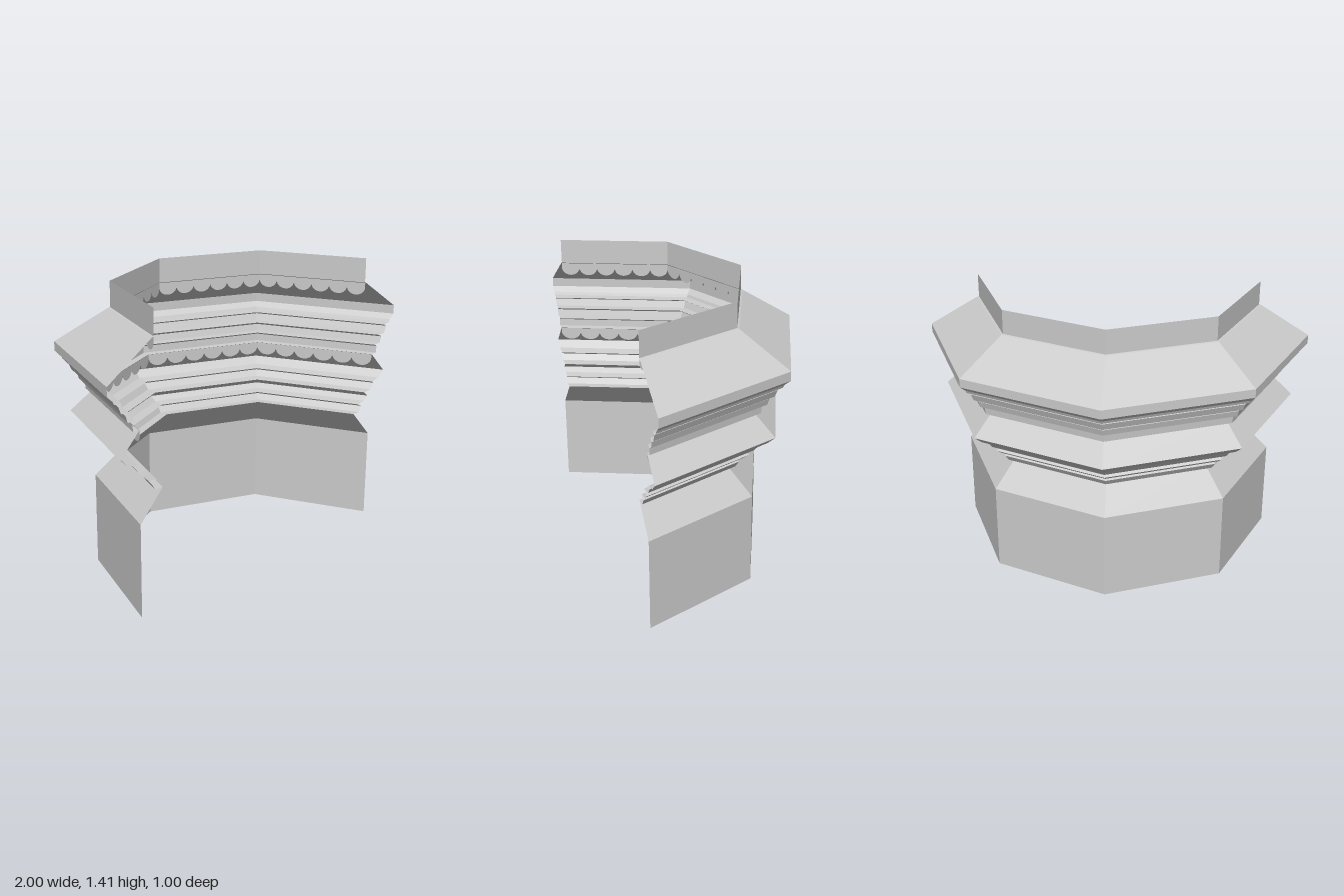
import * as THREE from 'three';

const SIDES = 4, STEP = Math.PI / SIDES, CENTRE_Z = 0.5;
const material = new THREE.MeshStandardMaterial({
  color: 0xcccccc, flatShading: true, side: THREE.DoubleSide,
});

// Sweep a [radius, height] profile (bottom to top) round half an octagon.
function sweep(name, profile) {
  const positions = [], index = [], n = profile.length;
  for (let s = 0; s <= SIDES; s++) {
    for (const [r, y] of profile) {
      positions.push(r * Math.cos(s * STEP), y, CENTRE_Z - r * Math.sin(s * STEP));
    }
  }
  for (let s = 0; s < SIDES; s++) {
    for (let p = 0; p < n - 1; p++) {
      const a = s * n + p, b = a + n;
      index.push(a, b, b + 1, a, b + 1, a + 1);
    }
  }
  const geometry = new THREE.BufferGeometry();
  geometry.setAttribute('position', new THREE.Float32BufferAttribute(positions, 3));
  geometry.setIndex(index);
  geometry.computeVertexNormals();
  const mesh = new THREE.Mesh(geometry, material);
  mesh.name = name;
  return mesh;
}

// Scalloped trim, one flat strip per side, hanging down from height top.
function scallops(name, radius, top, root, tip, lobes = 6) {
  const group = new THREE.Group();
  group.name = name;
  const length = 2 * radius * Math.sin(STEP / 2);
  const apothem = radius * Math.cos(STEP / 2);
  const w = length / lobes;
  const shape = new THREE.Shape();
  shape.moveTo(-length / 2, 0);
  shape.lineTo(-length / 2, root - top);
  for (let i = 0; i < lobes; i++) {
    const x = -length / 2 + i * w;
    shape.bezierCurveTo(x + w * 0.12, tip - top - 0.012, x + w * 0.88, tip - top - 0.012, x + w, root - top);
  }
  shape.lineTo(length / 2, 0);
  const geometry = new THREE.ShapeGeometry(shape, 8);
  for (let s = 0; s < SIDES; s++) {
    const a = (s + 0.5) * STEP;
    const strip = new THREE.Mesh(geometry, material);
    strip.name = name + 'Strip';
    strip.position.set(apothem * Math.cos(a), top, CENTRE_Z - apothem * Math.sin(a));
    strip.rotation.y = Math.atan2(-Math.cos(a), Math.sin(a));
    group.add(strip);
  }
  return group;
}

export function createModel() {
  const model = new THREE.Group();
  model.name = 'halfOctagonTower';
  model.add(
    // Plain wall with its sloping shoulder
    sweep('baseWall', [[0.825, 0], [0.825, 0.455]]),
    sweep('baseShoulder', [[0.825, 0.455], [0.69, 0.595]]),
    // Stepped mouldings under the lower eave
    sweep('lowerCornice', [
      [0.69, 0.595], [0.735, 0.595], [0.755, 0.625], [0.725, 0.64],
      [0.775, 0.648], [0.805, 0.67], [0.775, 0.695],
      [0.83, 0.7], [0.855, 0.73], [0.84, 0.74], [0.895, 0.75], [0.935, 0.785],
    ]),
    sweep('lowerRoof', [[0.935, 0.785], [0.825, 0.892]]),
    // Stepped mouldings under the upper eave
    sweep('upperCornice', [
      [0.825, 0.892], [0.86, 0.895], [0.863, 0.93], [0.845, 0.94],
      [0.89, 0.943], [0.9, 0.975], [0.88, 0.987],
      [0.925, 0.99], [0.94, 1.025], [0.92, 1.035],
      [0.963, 1.04], [0.97, 1.055], [1, 1.08], [1, 1.125],
    ]),
    sweep('upperRoof', [[1, 1.125], [0.745, 1.285]]),
    sweep('parapet', [[0.745, 1.285], [0.735, 1.288], [0.735, 1.412]]),
    // Scalloped trims on the inner face
    scallops('lowerTrim', 0.822, 0.892, 0.865, 0.83),
    scallops('upperTrim', 0.737, 1.285, 1.255, 1.222),
  );
  return model;
}
